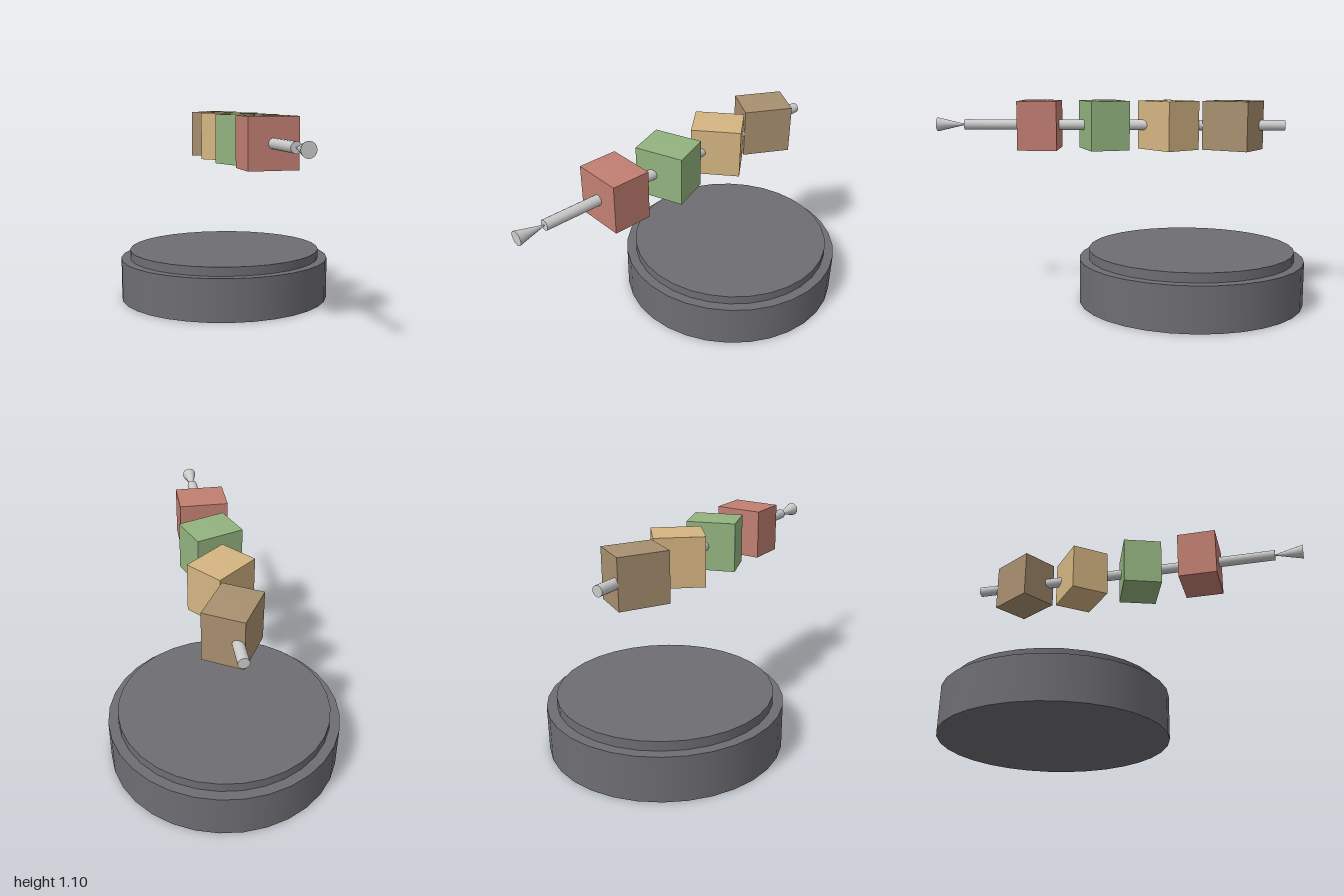
import * as THREE from 'three';

const mat = (color = 0xcccccc) => new THREE.MeshStandardMaterial({ color });

function add(parent, name, geometry, material, x, y, z) {
  const mesh = new THREE.Mesh(geometry, material);
  mesh.name = name;
  mesh.position.set(x, y, z);
  parent.add(mesh);
  return mesh;
}

// Food chunk: a block whose top bulges very slightly in the middle
function chunkGeometry(w, h, d) {
  const geo = new THREE.BoxGeometry(w, h, d, 3, 1, 3);
  const p = geo.attributes.position;
  for (let i = 0; i < p.count; i++) {
    const inner = Math.abs(p.getX(i)) < w * 0.4 && Math.abs(p.getZ(i)) < d * 0.4;
    if (p.getY(i) > 0 && inner) p.setY(i, h / 2 + 0.004);
  }
  geo.computeVertexNormals();
  return geo;
}

export function createModel() {
  const model = new THREE.Group();
  model.name = 'skewerOverBase';

  // Round stepped base, set toward the back
  const base = new THREE.Group();
  base.name = 'base';
  base.position.z = -0.386;
  model.add(base);
  const dark = mat(0x6e6e73);
  add(base, 'baseDrum', new THREE.CylinderGeometry(0.613, 0.613, 0.24, 32), dark, 0, 0.12, 0);
  add(base, 'baseTopDisc', new THREE.CylinderGeometry(0.56, 0.56, 0.05, 32), dark, 0, 0.265, 0);

  // Horizontal skewer with a flared handle
  const skewer = new THREE.Group();
  skewer.name = 'skewer';
  skewer.position.y = 0.963;
  model.add(skewer);
  const steel = mat();
  const rod = new THREE.CylinderGeometry(0.028, 0.028, 1.73, 16).rotateX(Math.PI / 2);
  add(skewer, 'rod', rod, steel, 0, 0, -0.015);
  const flare = new THREE.CylinderGeometry(0.038, 0.003, 0.15, 16).rotateX(Math.PI / 2);
  add(skewer, 'flaredHandle', flare, steel, 0, 0, 0.925);

  // Four chunks, each turned 20 degrees further than the last
  const chunk = chunkGeometry(0.26, 0.26, 0.21);
  [0xc27f72, 0x93b37f, 0xd5b582, 0xa89070].forEach((color, i) => {
    const mesh = add(skewer, `chunk${i + 1}`, chunk, mat(color), 0, 0, 0.437 - i * 0.347);
    mesh.rotation.y = THREE.MathUtils.degToRad(20 * i);
  });

  return model;
}
